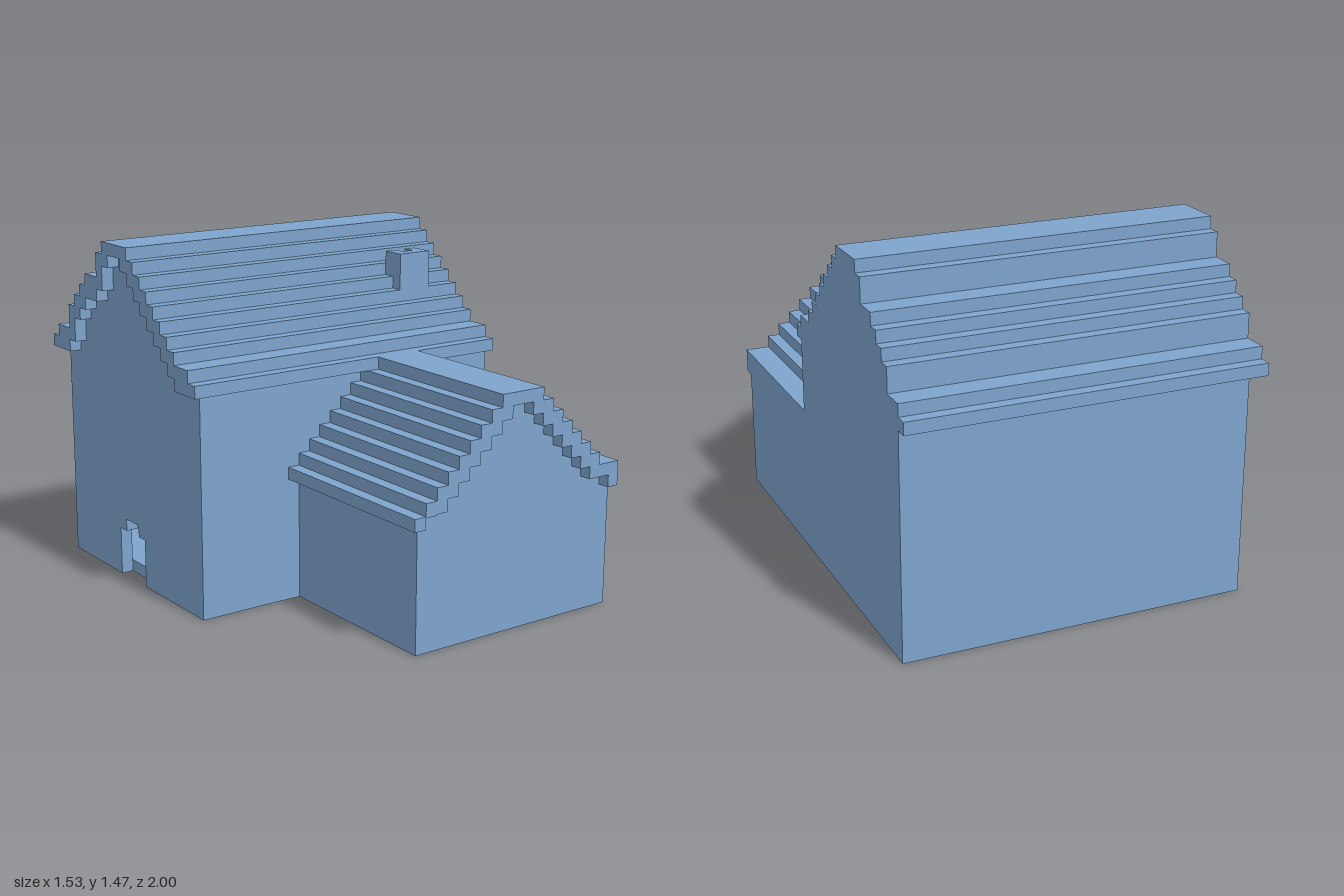
import * as THREE from 'three';

const U = 1 / 19;                      // one block
const X = (i) => (i - 14.5) * U;
const Z = (k) => (k - 19) * U;

export function createModel() {
  const house = new THREE.Group();
  house.name = 'house';
  const blue = new THREE.MeshStandardMaterial({ color: 0x7da4cc });
  blue.name = 'softBlue';

  function add(name, geometry) {
    const mesh = new THREE.Mesh(geometry, blue);
    mesh.name = name;
    house.add(mesh);
  }

  // Box given by block limits
  function box(name, x0, x1, y0, y1, z0, z1) {
    const g = new THREE.BoxGeometry((x1 - x0) * U, (y1 - y0) * U, (z1 - z0) * U);
    g.translate(X((x0 + x1) / 2), ((y0 + y1) / 2) * U, Z((z0 + z1) / 2));
    add(name, g);
  }

  // Stepped outline: one bottom and one top height for each block column
  function steps(start, bottoms, tops, toPos, depth) {
    const pts = [];
    const put = (i, h) => pts.push(new THREE.Vector2(toPos(i), h * U));
    bottoms.forEach((h, i) => { put(start + i, h); put(start + i + 1, h); });
    for (let i = tops.length - 1; i >= 0; i--) {
      put(start + i + 1, tops[i]);
      put(start + i, tops[i]);
    }
    const clean = pts.filter((p, i) => !p.equals(pts[(i + 1) % pts.length]));
    return new THREE.ExtrudeGeometry(new THREE.Shape(clean), { depth: depth * U, bevelEnabled: false });
  }

  // Outline in x, running along z
  const alongZ = (name, start, bottoms, tops, z0, z1) =>
    add(name, steps(start, bottoms, tops, X, z1 - z0).translate(0, 0, Z(z0)));

  // Outline in z, running along x
  const alongX = (name, start, bottoms, tops, x0, x1) =>
    add(name, steps(start, bottoms, tops, Z, x1 - x0).rotateY(-Math.PI / 2).translate(X(x1), 0, 0));

  // Main roof, ridge along x
  const mainTop = [19, 20, 20, 22, 23, 24, 25, 25, 27, 28, 28, 28, 28, 27, 26, 25, 24, 23, 22, 21, 20, 20, 19];
  const mainUnder = [18, 18, 18, 19, 21, 22, 23, 23, 24, 26, 27, 27, 26, 25, 24, 23, 22, 21, 20, 19, 18, 18, 18];
  alongX('mainRoof', 0, mainUnder, mainTop, 0, 29);

  // Wing roof, ridge along z
  const wingTop = [11, 12, 13, 14, 15, 16, 17, 18, 19, 19, 19, 19, 18, 17, 16, 15, 14, 13, 12, 12];
  const wingUnder = [10, 10.9, 11, 12, 13, 14, 15, 16, 17, 18, 18, 17, 16, 15, 14, 13, 12, 11, 11, 10];
  alongZ('wingRoof', 9, wingUnder, wingTop, 22, 38);

  // Gable walls; the one at -x has a stepped door arch
  const gable = mainUnder.slice(1, 22);
  const flat = gable.map(() => 0);
  const doorway = flat.slice();
  [4, 5, 5, 4].forEach((h, i) => { doorway[8 + i] = h; });
  alongX('doorWall', 1, doorway, gable, 1, 2);
  alongX('gableWall', 1, flat, gable, 28, 29);
  const wingGable = wingUnder.slice(1);
  alongZ('wingFrontWall', 10, wingGable.map(() => 0), wingGable, 36, 37);

  // Straight walls
  box('backWall', 2, 28, 0, 18, 1, 2);
  box('frontWall', 2, 28, 0, 18, 21, 22);
  box('wingRightWall', 28, 29, 0, 10.5, 22, 36);
  box('wingLeftWall', 10, 11, 0, 11, 22, 36);

  // Floors
  box('mainFloor', 2, 28, 0, 1, 2, 21);
  box('wingFloor', 11, 28, 0, 1, 22, 36);

  // Chimney with a flue open to the back
  box('chimneyFront', 23, 26, 22, 26, 17, 18);
  for (const x of [23, 25]) box('chimneySide', x, x + 1, 23, 26, 16, 17);

  return house;
}
